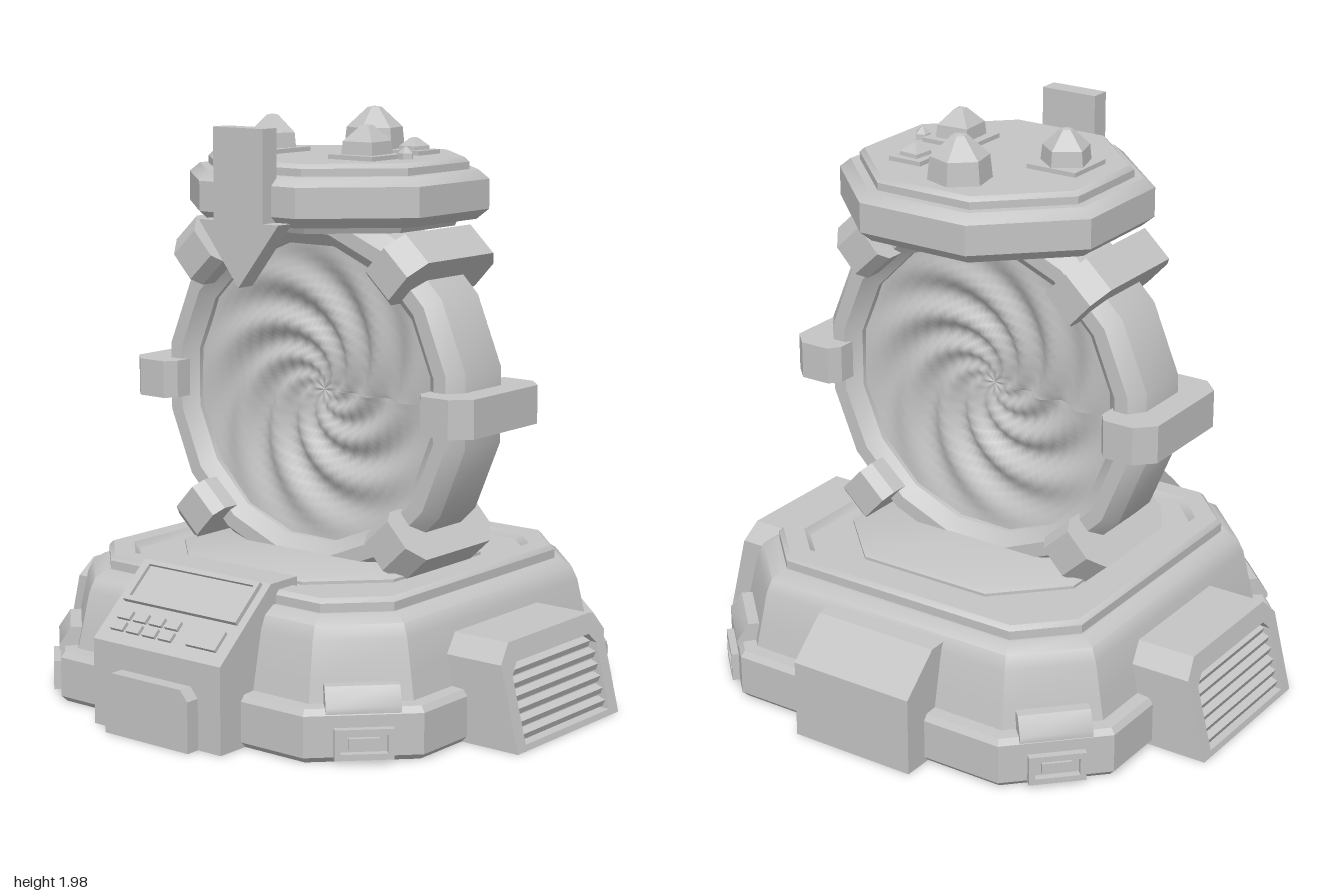
import * as THREE from 'three';
import { toCreasedNormals } from 'three/addons/utils/BufferGeometryUtils.js';

const CZ = -0.03; // z of the base and ring axis
const RING_Y = 1.03;

export function createModel() {
  const model = new THREE.Group();
  const grey = new THREE.MeshStandardMaterial({ color: 0xc4c4c4 });
  grey.name = 'plain grey';

  const add = (name, geo, parent = model, x = 0, y = 0, z = 0, crease = 0.6) => {
    const mesh = new THREE.Mesh(crease ? toCreasedNormals(geo, crease) : geo, grey);
    mesh.name = name;
    mesh.position.set(x, y, z);
    parent.add(mesh);
    return mesh;
  };
  const group = (name, parent = model) => {
    const g = new THREE.Group();
    g.name = name;
    parent.add(g);
    return g;
  };
  const box = (name, w, h, d, parent, x, y, z) => add(name, new THREE.BoxGeometry(w, h, d), parent, x, y, z);
  const outline = (pts) => new THREE.Shape(pts.map(([x, y]) => new THREE.Vector2(x, y)));
  const extrude = (shape, depth) => new THREE.ExtrudeGeometry(shape, { depth, bevelEnabled: false });
  const rect = (x0, y0, x1, y1) => [[x0, y0], [x1, y0], [x1, y1], [x0, y1]];
  const frame = (w, h, t, depth) => {
    const s = outline(rect(-w / 2, -h / 2, w / 2, h / 2));
    s.holes.push(outline(rect(t - w / 2, t - h / 2, w / 2 - t, h / 2 - t)));
    return extrude(s, depth);
  };
  // side profile in (z, y), swept across x
  const sideProfile = (pts, width) =>
    extrude(outline(pts), width).rotateY(-Math.PI / 2).translate(width / 2, 0, 0);

  // stacked octagons: each profile entry is [inset, y]
  function octagonStack(half, diagonal, profile, zScale = 1) {
    const pos = [], index = [];
    for (const [d, y] of profile) {
      const h = half - d, c = (diagonal - d) * Math.SQRT2 - h;
      for (const [x, z] of [[h, c], [c, h], [-c, h], [-h, c], [-h, -c], [-c, -h], [c, -h], [h, -c]])
        pos.push(x, y, z * zScale);
    }
    const n = profile.length;
    pos.push(0, profile[0][1], 0, 0, profile[n - 1][1], 0);
    for (let j = 0; j < 8; j++) {
      const k = (j + 1) % 8;
      for (let i = 0; i < n - 1; i++) {
        const a = i * 8 + j, b = i * 8 + k;
        index.push(a, a + 8, b, b, a + 8, b + 8);
      }
      const top = (n - 1) * 8;
      index.push(n * 8, j, k, n * 8 + 1, top + k, top + j);
    }
    const geo = new THREE.BufferGeometry();
    geo.setAttribute('position', new THREE.Float32BufferAttribute(pos, 3));
    geo.setIndex(index);
    geo.computeVertexNormals();
    return geo;
  }

  // Base with skirt, rounded shoulder and raised rim
  add('base', octagonStack(0.8, 0.94, [
    [0.02, 0], [0, 0.02], [0, 0.155], [0.015, 0.175], [0.06, 0.178], [0.075, 0.25], [0.1, 0.37],
    [0.12, 0.415], [0.16, 0.44], [0.175, 0.44], [0.175, 0.47], [0.19, 0.485], [0.26, 0.485], [0.28, 0.465],
  ]), model, 0, 0, CZ);
  add('floorPlate', octagonStack(0.46, 0.5, [[0, 0.46], [0, 0.475], [0.02, 0.485]]), model, 0, 0, CZ);

  // Corner tabs and latches on the four diagonal faces
  for (let i = 0; i < 4; i++) {
    const corner = group('cornerFitting');
    corner.position.z = CZ;
    corner.rotation.y = Math.PI / 4 + i * Math.PI / 2;
    add('cornerTab', sideProfile([[0.84, 0.16], [0.945, 0.16], [0.945, 0.18], [0.905, 0.24], [0.84, 0.24]], 0.24), corner);
    add('latchFrame', frame(0.19, 0.1, 0.02, 0.03), corner, 0, 0.065, 0.935);
    box('latchBar', 0.1, 0.035, 0.02, corner, 0, 0.065, 0.945);
  }

  // Sloped vents on both sides
  for (const side of [1, -1]) {
    const vent = group(side > 0 ? 'leftVent' : 'rightVent');
    vent.position.z = CZ + 0.005;
    vent.rotation.y = side * Math.PI / 2;
    const lean = (geo) => {
      const p = geo.attributes.position;
      for (let i = 0; i < p.count; i++) p.setZ(i, p.getZ(i) - 0.25 * p.getY(i));
      geo.computeVertexNormals();
      return geo;
    };
    const face = outline([[-0.295, 0], [0.295, 0], [0.295, 0.28], [0.235, 0.34], [-0.235, 0.34], [-0.295, 0.28]]);
    face.holes.push(outline([[-0.245, 0.02], [0.245, 0.02], [0.245, 0.24], [0.21, 0.275], [-0.21, 0.275], [-0.245, 0.24]]));
    add('ventHousing', lean(extrude(face, 0.3)), vent, 0, 0, 0.7);
    add('ventBack', lean(new THREE.BoxGeometry(0.52, 0.27, 0.02).translate(0, 0.15, 0.95)), vent);
    for (let i = 0; i < 6; i++) {
      const y = 0.045 + i * 0.04;
      const slat = box('ventSlat', i > 4 ? 0.44 : 0.48, 0.022, 0.03, vent, 0, y, 0.975 - 0.25 * y);
      slat.rotation.x = 0.35;
    }
  }

  // Front console
  const consoleUnit = group('console');
  add('consoleBody', sideProfile([[0.49, 0], [0.87, 0], [0.87, 0.29], [0.62, 0.51], [0.49, 0.51]], 0.55), consoleUnit);
  add('consoleFoot', extrude(outline([
    [-0.18, 0], [0.18, 0], [0.18, 0.17], [0.15, 0.205], [-0.15, 0.205], [-0.18, 0.17],
  ]), 0.06), consoleUnit, 0, 0, 0.86);
  const panel = group('consolePanel', consoleUnit);
  panel.position.set(0, 0.4, 0.745);
  panel.rotation.x = -Math.atan2(0.25, 0.22);
  add('screenFrame', frame(0.49, 0.165, 0.018, 0.016), panel, 0, 0.075, 0);
  box('screen', 0.45, 0.13, 0.008, panel, 0, 0.075, 0.002);
  for (let i = 0; i < 4; i++)
    for (const y of [-0.06, -0.105]) box('button', 0.055, 0.033, 0.016, panel, -0.2 + i * 0.07, y, 0.004);
  box('wideButton', 0.125, 0.075, 0.016, panel, 0.165, -0.082, 0.004);

  // Rear block
  add('rearBlock', sideProfile([[-0.6, 0], [-0.6, 0.4], [-0.78, 0.395], [-0.92, 0.27], [-0.92, 0]].reverse(), 0.46),
    model, -0.01);

  // Upright ring
  const ring = group('portalRing');
  ring.position.set(0, RING_Y, CZ);
  const section = [[0.515, -0.11], [0.56, -0.155], [0.61, -0.155], [0.65, -0.1], [0.65, 0.1],
    [0.61, 0.155], [0.56, 0.155], [0.515, 0.11], [0.515, -0.11]].map(([r, z]) => new THREE.Vector2(r, z));
  add('ringBody', new THREE.LatheGeometry(section, 16).rotateX(Math.PI / 2).rotateZ(Math.PI / 16), ring);

  // Clamps around the ring
  const clampShape = outline([[0.53, -0.2], [0.56, -0.24], [0.67, -0.24], [0.73, -0.18],
    [0.73, 0.18], [0.67, 0.24], [0.56, 0.24], [0.53, 0.2]]);
  const clampGeo = extrude(clampShape, 0.13).translate(0, 0, -0.065).rotateX(Math.PI / 2);
  for (const degrees of [0, 47, 133, 180, 227, 313]) {
    add('ringClamp', clampGeo, ring).rotation.z = THREE.MathUtils.degToRad(degrees);
  }

  // Swirling surface on both faces, a disc rippled along spiral arms
  const swirlGeo = new THREE.RingGeometry(0.001, 0.545, 84, 18);
  const p = swirlGeo.attributes.position;
  for (let i = 0; i < p.count; i++) {
    const x = p.getX(i), y = p.getY(i), r = Math.hypot(x, y), a = Math.atan2(y, x);
    const wave = Math.sin(7 * (a - 5.5 * Math.sqrt(r)));
    p.setZ(i, 0.035 + 0.06 * r / 0.54 + 0.026 * wave * Math.sin(Math.PI * Math.min(1, r / 0.53)));
  }
  swirlGeo.computeVertexNormals();
  for (const turn of [0, Math.PI]) add('swirl', swirlGeo, ring, 0, 0, 0, 0).rotation.y = turn;

  // Octagonal top platform
  const platform = group('topPlatform');
  platform.position.z = -0.06;
  add('platformBody', octagonStack(0.495, 0.495, [
    [0.11, 1.6], [0.1, 1.62], [0.04, 1.625], [0, 1.66], [0, 1.76], [0.035, 1.79],
    [0.065, 1.79], [0.065, 1.815], [0.08, 1.83],
  ], 0.95), platform);

  // Crystals: [x, z, radius, height, sides, turn, tray size]
  const crystals = [
    [-0.04, -0.32, 0.125, 0.15, 6, 0.2, 0], [-0.25, -0.02, 0.105, 0.13, 5, 0.6, 0.185],
    [0.2, 0.03, 0.105, 0.115, 4, 0.85, 0.185], [0.2, -0.23, 0.065, 0.06, 4, 0.7, 0.125],
    [0.315, -0.03, 0.035, 0.045, 5, 0.3, 0],
  ];
  for (const [x, z, r, h, sides, turn, tray] of crystals) {
    const crystal = group('crystal');
    crystal.position.set(x, 1.825, z);
    if (tray) box('crystalTray', tray, 0.03, tray, crystal, 0, 0.005, 0);
    const profile = [[r * 0.85, 0], [r * 0.78, h * 0.55], [r * 0.2, h], [0, h * 1.03]]
      .map(([a, b]) => new THREE.Vector2(a, b));
    add('crystalGem', new THREE.LatheGeometry(profile, sides), crystal, 0, 0, 0, 0.1).rotation.y = turn;
  }

  // Downward arrow sign in front of the platform
  add('arrowSign', extrude(outline([[0, 1.425], [0.17, 1.64], [0.105, 1.64], [0.105, 1.945],
    [-0.105, 1.945], [-0.105, 1.64], [-0.17, 1.64]]), 0.07), model, 0, 0, 0.383);

  return model;
}
